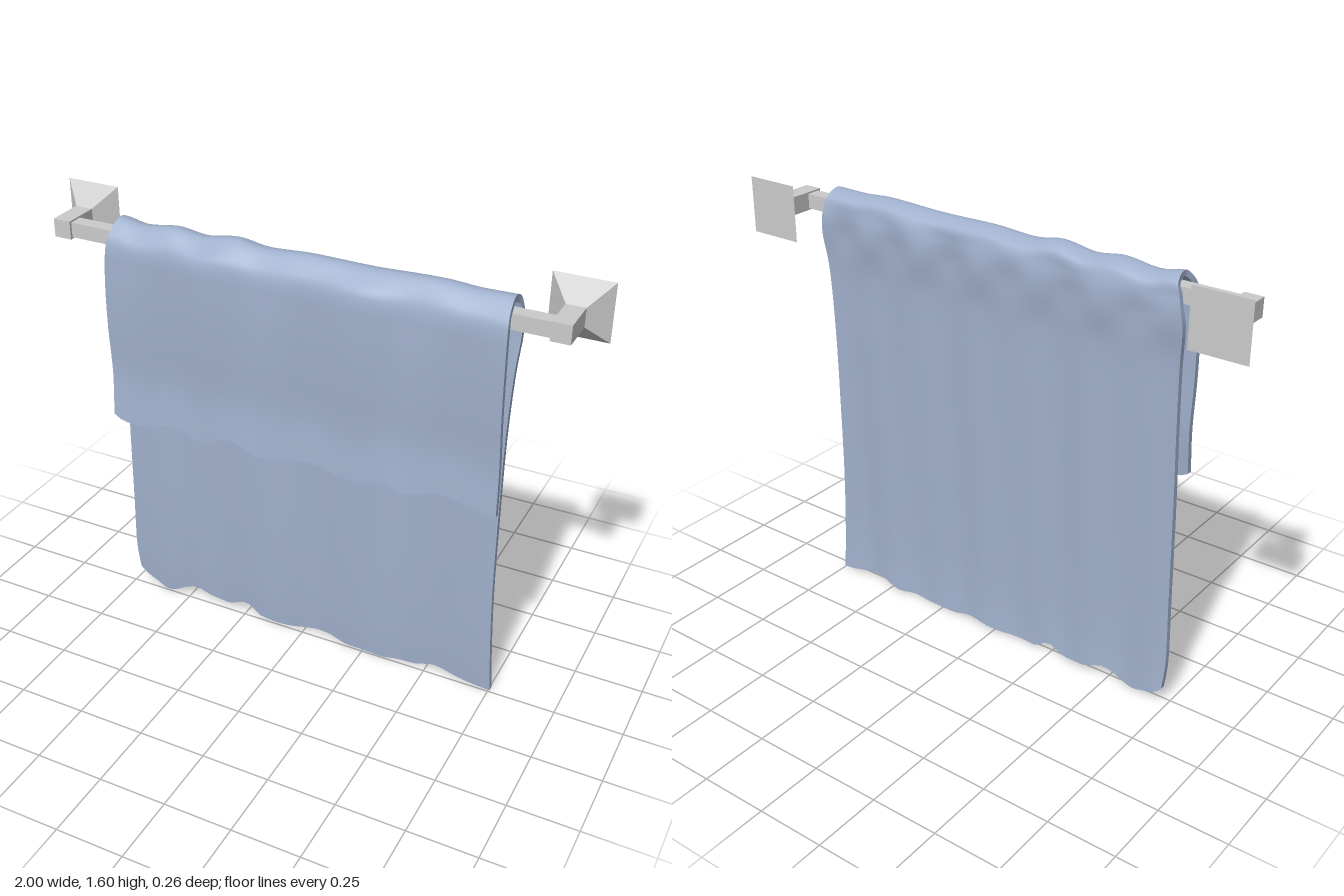
import * as THREE from 'three';

const steel = new THREE.MeshStandardMaterial({ color: 0xcccccc, flatShading: true });
const cloth = new THREE.MeshStandardMaterial({ color: 0xa0b0cc, side: THREE.DoubleSide });
const BAR_Y = 1.503;

// Towel path from front hem, over the bar, to back hem: [z, y, left x, right x]
const PATH = [
  [0.118, 0.83, -0.70, 0.763], [0.106, 1.0, -0.702, 0.758], [0.112, 1.2, -0.706, 0.753],
  [0.112, 1.4, -0.703, 0.75], [0.105, 1.5, -0.695, 0.747], [0.086, 1.533, -0.69, 0.742],
  [0.035, 1.571, -0.68, 0.738], [-0.025, 1.55, -0.69, 0.738], [-0.04, 1.5, -0.705, 0.745],
  [-0.04, 1.42, -0.72, 0.748], [-0.03, 1.28, -0.712, 0.74], [-0.027, 1.05, -0.715, 0.732],
  [-0.024, 0.75, -0.723, 0.732], [-0.022, 0.4, -0.73, 0.736], [-0.025, 0.13, -0.737, 0.748],
  [-0.03, 0.015, -0.73, 0.755],
];
// Hem and ridge outlines: [x, y]
const FRONT_HEM = [[-0.7, 0.845], [-0.66, 0.825], [-0.58, 0.815], [-0.46, 0.845], [-0.35, 0.82], [-0.22, 0.855],
  [-0.1, 0.82], [0.1, 0.845], [0.25, 0.825], [0.37, 0.845], [0.43, 0.83], [0.55, 0.855], [0.76, 0.835]];
const BACK_HEM = [[-0.73, 0.065], [-0.69, 0.03], [-0.6, 0.006], [-0.48, 0.05], [-0.4, 0.025], [-0.33, 0.022],
  [-0.25, 0.05], [-0.18, 0.012], [-0.05, 0.01], [0.1, 0.025], [0.2, 0.004], [0.32, 0.003], [0.39, 0.012],
  [0.45, 0.006], [0.55, 0.032], [0.75, 0.002]];
const RIDGE = [[-0.68, 1.575], [-0.59, 1.56], [-0.46, 1.575], [-0.36, 1.563], [-0.23, 1.58], [-0.12, 1.565],
  [0.05, 1.574], [0.25, 1.572], [0.5, 1.58], [0.62, 1.573], [0.74, 1.575]];

function lookup(table, x) {
  if (x <= table[0][0]) return table[0][1];
  for (let i = 1; i < table.length; i++) {
    const [x0, y0] = table[i - 1], [x1, y1] = table[i];
    if (x <= x1) return y0 + (y1 - y0) * THREE.MathUtils.smoothstep(x, x0, x1);
  }
  return table[table.length - 1][1];
}

function towelGeometry() {
  const rows = 90, cols = 60, thickness = 0.02;
  const edge = (k) => new THREE.CatmullRomCurve3(PATH.map((p) => new THREE.Vector3(p[k], p[1], p[0])));
  const left = edge(2), right = edge(3);
  const pos = [], index = [];
  const stride = cols + 1, layer = (rows + 1) * stride;
  const inner = [];

  for (let i = 0; i <= rows; i++) {
    const t = i / rows, a = left.getPoint(t), b = right.getPoint(t), tan = left.getTangent(t);
    const len = Math.hypot(tan.y, tan.z), nz = tan.y / len, ny = -tan.z / len;
    const front = t < 0.4;
    for (let j = 0; j <= cols; j++) {
      const x = THREE.MathUtils.lerp(a.x, b.x, j / cols);
      let { y, z } = a;
      // Uneven hems and ridge
      if (front) y += (lookup(FRONT_HEM, x) - 0.83) * Math.max(0, 1 - (y - 0.83) / 0.4);
      else y += (lookup(BACK_HEM, x) - 0.015) * Math.max(0, 1 - (y - 0.015) / 0.4);
      y += (lookup(RIDGE, x) - 1.571) * THREE.MathUtils.smoothstep(a.y, 1.45, 1.57);
      // Soft hanging folds
      const drop = 1 - THREE.MathUtils.smoothstep(a.y, 1.5, 1.57);
      let fold = front
        ? 0.007 * Math.sin(12 * x + 2.6 + 1.5 * y) + 0.004 * Math.sin(23 * x - 3 * y)
        : 0.007 * Math.sin(15 * x + 1.2 * y + 0.6) + 0.004 * Math.sin(27 * x - 2 * y + 1);
      // Bunched wrinkles just behind the bar
      if (!front) fold += 0.009 * Math.exp(-(((a.y - 1.43) / 0.08) ** 2)) * Math.sin(26 * x + 4 * y + 0.8);
      fold *= drop;
      y += ny * fold;
      z += nz * fold;
      pos.push(x, y, z);
      inner.push(x, y - ny * thickness, z - nz * thickness);
    }
  }
  pos.push(...inner);

  for (let i = 0; i < rows; i++) for (let j = 0; j < cols; j++) {
    const a = i * stride + j, b = a + 1, c = a + stride, d = c + 1;
    index.push(a, b, c, b, d, c);
    index.push(a + layer, c + layer, b + layer, b + layer, c + layer, d + layer);
  }

  // Rim strip joining the two sides of the cloth, with its own vertices
  const loop = [];
  for (let j = 0; j < cols; j++) loop.push(j);
  for (let i = 0; i < rows; i++) loop.push(i * stride + cols);
  for (let j = cols; j > 0; j--) loop.push(rows * stride + j);
  for (let i = rows; i > 0; i--) loop.push(i * stride);
  loop.forEach((p, k) => {
    const q = loop[(k + 1) % loop.length], s = pos.length / 3;
    for (const v of [p, q, p + layer, q + layer]) pos.push(pos[v * 3], pos[v * 3 + 1], pos[v * 3 + 2]);
    index.push(s, s + 2, s + 1, s + 1, s + 2, s + 3);
  });

  const geometry = new THREE.BufferGeometry();
  geometry.setAttribute('position', new THREE.Float32BufferAttribute(pos, 3));
  geometry.setIndex(index);
  geometry.computeVertexNormals();
  return geometry;
}

function addMesh(parent, name, geometry, material, x = 0, y = 0, z = 0) {
  const mesh = new THREE.Mesh(geometry, material);
  mesh.name = name;
  mesh.position.set(x, y, z);
  parent.add(mesh);
}

export function createModel() {
  const model = new THREE.Group();
  model.name = 'towelRail';

  // Wall mounts: flared square plate and a square arm
  for (const side of [1, -1]) {
    const mount = new THREE.Group();
    mount.name = side > 0 ? 'leftMount' : 'rightMount';
    mount.position.set(side * 0.8975, BAR_Y, 0);
    const flare = new THREE.CylinderGeometry(0.033 * Math.SQRT2, 0.1025 * Math.SQRT2, 0.068, 4);
    flare.rotateY(Math.PI / 4).rotateX(Math.PI / 2);
    addMesh(mount, 'wallPlate', flare, steel, 0, 0, -0.101);
    addMesh(mount, 'arm', new THREE.BoxGeometry(0.066, 0.066, 0.137), steel, 0, 0, 0.0005);
    model.add(mount);
  }

  // Rail between the arms
  addMesh(model, 'rail', new THREE.BoxGeometry(1.74, 0.054, 0.052), steel, 0, BAR_Y, 0.034);

  // Towel draped over the rail
  addMesh(model, 'towel', towelGeometry(), cloth);
  return model;
}
